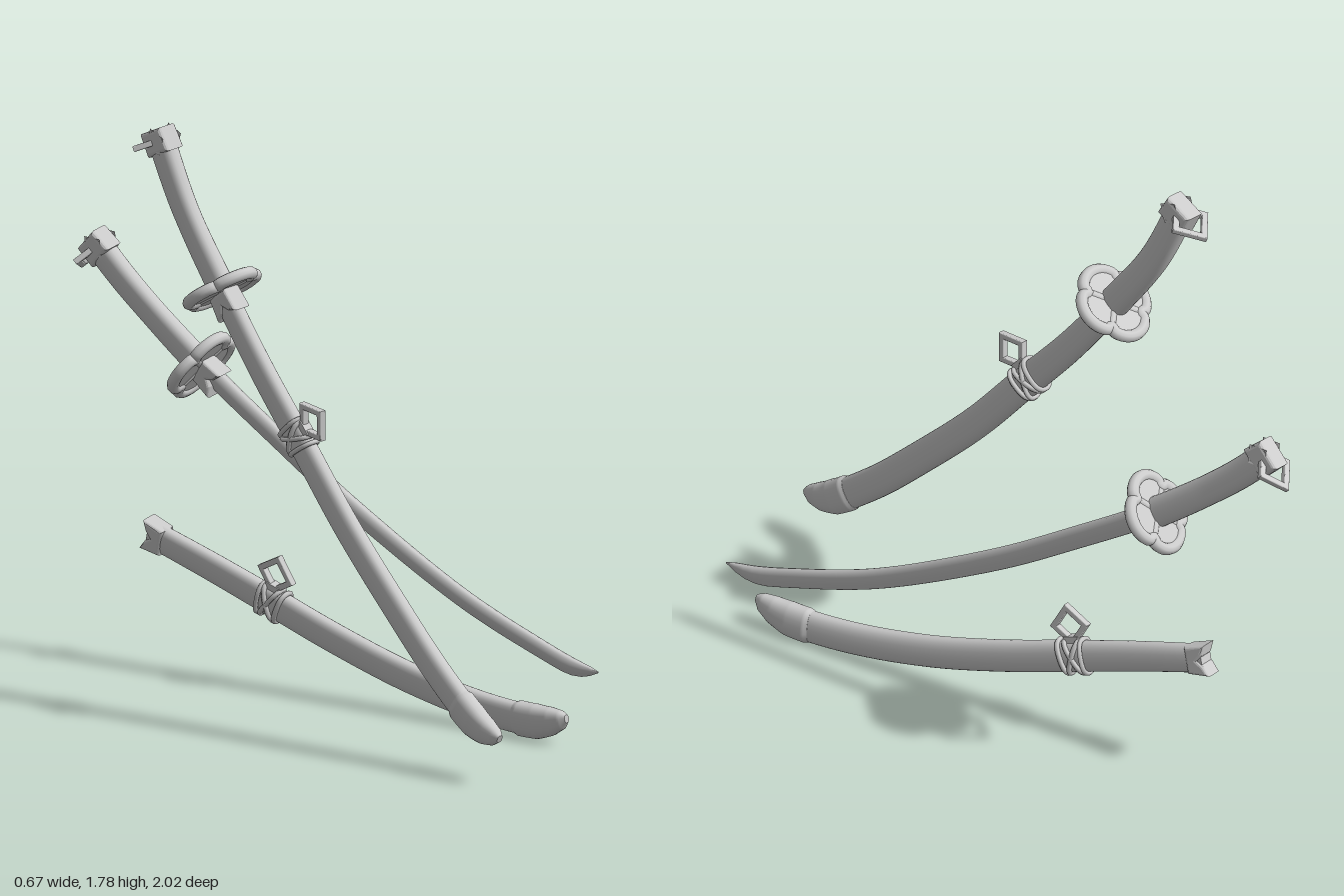
import * as THREE from 'three';

const mat = new THREE.MeshStandardMaterial({ color: 0xcccccc, side: THREE.DoubleSide });
const V2 = (x, y) => new THREE.Vector2(x, y);
const mesh = (geo, name) => { const m = new THREE.Mesh(geo, mat); m.name = name; return m; };

// Planar arc through (z, y) points lying in the plane x = a + b*y + c*z
function makeArc(points, a, b, c) {
  const curve = new THREE.CatmullRomCurve3(points.map(([z, y]) => new THREE.Vector3(a + b * y + c * z, y, z)));
  const length = curve.getLength();
  const N = new THREE.Vector3(1, -b, -c).normalize();
  // local axes at distance d: x = flat side, y = inner side of the bend, z = towards the tip
  const frame = (d) => {
    const u = THREE.MathUtils.clamp(d / length, 0, 1);
    const T = curve.getTangentAt(u);
    T.addScaledVector(N, -T.dot(N)).normalize();
    const W = new THREE.Vector3().crossVectors(T, N);
    return new THREE.Matrix4().makeBasis(N, W, T).setPosition(curve.getPointAt(u));
  };
  return { length, frame };
}

// Oval and blade cross-sections on a unit square, counter-clockwise
const oval = Array.from({ length: 24 }, (_, i) => {
  const t = (i / 24) * Math.PI * 2, p = (v) => Math.sign(v) * Math.abs(v) ** 0.8;
  return [p(Math.cos(t)), p(Math.sin(t))];
});
const bladeSection = [[0.15, -0.95], [0.65, -0.3], [1, 0.35], [0.75, 0.9], [0, 1],
  [-0.75, 0.9], [-1, 0.35], [-0.65, -0.3], [-0.15, -0.95], [0, -1]];

// Sweep a section along the arc; keys are [distance, halfWidth, halfThickness, sideShift]
function loft(arc, section, keys, name, steps = 48) {
  const pos = [], idx = [], n = section.length;
  const d0 = keys[0][0], d1 = keys[keys.length - 1][0];
  const at = (d) => {
    let k = 0;
    while (k < keys.length - 2 && d > keys[k + 1][0]) k++;
    const f = (d - keys[k][0]) / (keys[k + 1][0] - keys[k][0]);
    return keys[k].map((v, i) => v + (keys[k + 1][i] - v) * f);
  };
  const row = (d) => {
    const [, w, t, s] = at(d), m = arc.frame(d);
    return section.map(([x, y]) => new THREE.Vector3(x * t, y * w + s, 0).applyMatrix4(m));
  };
  for (let i = 0; i <= steps; i++) for (const p of row(d0 + (d1 - d0) * i / steps)) pos.push(p.x, p.y, p.z);
  for (let i = 0; i < steps; i++) for (let j = 0; j < n; j++) {
    const a = i * n + j, b = i * n + (j + 1) % n;
    idx.push(a, b, a + n, b, b + n, a + n);
  }
  // end faces
  for (const [d, flip] of [[d0, true], [d1, false]]) {
    const base = pos.length / 3;
    for (const p of row(d)) pos.push(p.x, p.y, p.z);
    for (let j = 1; j < n - 1; j++) idx.push(base, base + (flip ? j + 1 : j), base + (flip ? j : j + 1));
  }
  const g = new THREE.BufferGeometry();
  g.setAttribute('position', new THREE.Float32BufferAttribute(pos, 3));
  g.setIndex(idx);
  g.computeVertexNormals();
  return mesh(g, name);
}

// Slab from a 2D outline, centred on its thickness
function slab(points, depth, bevel, holes = []) {
  const shape = new THREE.Shape(points);
  for (const h of holes) shape.holes.push(new THREE.Path(h));
  const g = new THREE.ExtrudeGeometry(shape, {
    depth: depth - 2 * bevel, bevelEnabled: bevel > 0, bevelSize: bevel, bevelThickness: bevel,
    bevelOffset: -bevel, bevelSegments: 3,
  });
  return g.translate(0, 0, bevel - depth / 2);
}
// Turn a slab so its outline lies in the plane of the bend
const sideways = (g) => g.applyMatrix4(new THREE.Matrix4().makeBasis(
  new THREE.Vector3(0, 1, 0), new THREE.Vector3(0, 0, 1), new THREE.Vector3(1, 0, 0)));
const diamond = (x, y, r) => [V2(x + r, y), V2(x, y + r), V2(x - r, y), V2(x, y - r)];

function place(arc, d, name, ...parts) {
  const g = new THREE.Group();
  g.name = name;
  g.add(...parts);
  g.applyMatrix4(arc.frame(d));
  return g;
}

// Collar with a swallow-tail end; dir sets which way the notch faces
function collar(name, dir, w = 0.05) {
  const pts = [[-w * 0.9, 0], [w * 0.9, 0], [w * 1.05, 0.075], [w * 0.35, 0.06], [0, 0.042], [-w * 0.35, 0.06], [-w * 1.05, 0.075]]
    .map(([x, y]) => V2(x, y * dir));
  return mesh(sideways(slab(pts, 0.064, 0.01)), name);
}

// Four-lobed guard: raised rim, thin plate and dividing ridges
function guard() {
  const outline = Array.from({ length: 48 }, (_, i) => {
    const t = (i / 48) * Math.PI * 2;
    const r = 0.088 + 0.028 * Math.sqrt(Math.abs(Math.cos(2 * t))) * (Math.abs(Math.cos(2 * t)) > 0.02 ? 1 : 0);
    return V2(Math.cos(t) * r, Math.sin(t) * r);
  });
  const rimPath = new THREE.CatmullRomCurve3(outline.map((p) => new THREE.Vector3(p.x, p.y, 0)), true);
  const parts = [mesh(slab(outline, 0.02, 0), 'guardPlate'),
    mesh(new THREE.TubeGeometry(rimPath, 120, 0.019, 10, true), 'guardRim')];
  for (let i = 0; i < 2; i++) {
    const ridge = mesh(new THREE.CapsuleGeometry(0.014, 0.16, 4, 8), 'guardRidge');
    ridge.rotation.z = Math.PI / 4 + i * Math.PI / 2;
    parts.push(ridge);
  }
  return parts;
}

// Grip with pierced end cap, diamond ring, guard and collar
function hilt(arc) {
  const g = new THREE.Group();
  g.name = 'hilt';
  g.add(loft(arc, oval, [[0.05, 0.047, 0.033, 0], [0.3, 0.046, 0.031, 0], [0.52, 0.048, 0.033, 0]], 'grip', 20));
  const cap = [V2(-0.052, 0), V2(0.046, 0), V2(0.052, 0.075), V2(-0.052, 0.075)];
  g.add(place(arc, 0, 'endCap', mesh(sideways(slab(cap, 0.07, 0.012, [diamond(0.012, 0.036, 0.026)])), 'cap')));
  const ring = mesh(slab(diamond(0, -0.045, 0.077), 0.018, 0.003, [diamond(0, -0.045, 0.05)]), 'ring');
  g.add(place(arc, 0.036, 'endRing', ring));
  g.add(place(arc, 0.52, 'guard', ...guard()));
  g.add(place(arc, 0.53, 'guardCollar', collar('collar', 1, 0.048)));
  return g;
}

// Scabbard starting at distance d0, with bindings, hanging ring and tip cap
function scabbard(arc, d0) {
  const g = new THREE.Group(), L = arc.length;
  g.name = 'scabbard';
  g.add(loft(arc, oval, [[d0, 0.044, 0.027, 0], [d0 + 0.5, 0.049, 0.028, 0], [L - 0.15, 0.05, 0.029, 0]], 'sheath'));
  g.add(loft(arc, oval, [[L - 0.2, 0.05, 0.03, 0], [L - 0.185, 0.055, 0.036, 0], [L - 0.12, 0.054, 0.036, 0],
    [L - 0.06, 0.043, 0.031, 0.003], [L - 0.02, 0.029, 0.022, 0.007], [L, 0.012, 0.01, 0.012]], 'tipCap', 40));
  const bands = [[-0.035, 0], [0, 0.5], [0, -0.5], [0.04, 0.15]].map(([z, tilt]) => {
    const loop = new THREE.CatmullRomCurve3(oval.map(([x, y]) =>
      new THREE.Vector3(x * 0.032, y * 0.053, z + y * 0.053 * tilt)), true);
    return mesh(new THREE.TubeGeometry(loop, 40, 0.008, 6, true), 'binding');
  });
  const ring = mesh(sideways(slab(diamond(0.098, 0, 0.068), 0.022, 0.003, [diamond(0.098, 0, 0.043)])), 'hangingRing');
  const lug = mesh(new THREE.BoxGeometry(0.03, 0.025, 0.05), 'ringLug');
  lug.position.y = 0.052;
  g.add(place(arc, d0 + 0.465, 'hanger', ...bands, ring, lug));
  return g;
}

export function createModel() {
  const model = new THREE.Group();
  model.name = 'swordSet';

  // Sword resting in its scabbard
  const a = makeArc([[-0.42, 1.765], [-0.315, 1.535], [-0.17, 1.32], [-0.01, 1.1], [0.17, 0.885], [0.345, 0.675],
    [0.545, 0.47], [0.73, 0.295], [0.89, 0.175], [0.99, 0.135]], -0.101, -0.09, -0.192);
  const sheathed = new THREE.Group();
  sheathed.name = 'sheathedSword';
  sheathed.add(hilt(a), scabbard(a, 0.56));

  // Drawn sword
  const b = makeArc([[-0.955, 1.27], [-0.825, 1.14], [-0.57, 0.935], [-0.285, 0.745], [-0.02, 0.58], [0.4, 0.365],
    [0.68, 0.265], [0.84, 0.22], [0.93, 0.215]], 0.334, -0.174, -0.0586);
  const drawn = new THREE.Group();
  drawn.name = 'drawnSword';
  const L = b.length;
  drawn.add(hilt(b), loft(b, bladeSection, [[0.5, 0.035, 0.02, 0], [1.2, 0.034, 0.019, 0], [L - 0.12, 0.03, 0.017, 0],
    [L - 0.05, 0.02, 0.012, 0.006], [L, 0.002, 0.002, 0.012]], 'blade'));

  // Empty scabbard
  const c = makeArc([[-0.69, 0.405], [-0.475, 0.34], [-0.245, 0.265], [-0.02, 0.19], [0.25, 0.115], [0.52, 0.068],
    [0.73, 0.057], [0.865, 0.075]], 0.192, -0.167, -0.0045);
  const empty = new THREE.Group();
  empty.name = 'emptyScabbard';
  empty.add(scabbard(c, 0), place(c, 0.055, 'mouth', collar('mouthCollar', -1, 0.047)));

  model.add(sheathed, drawn, empty);
  return model;
}
